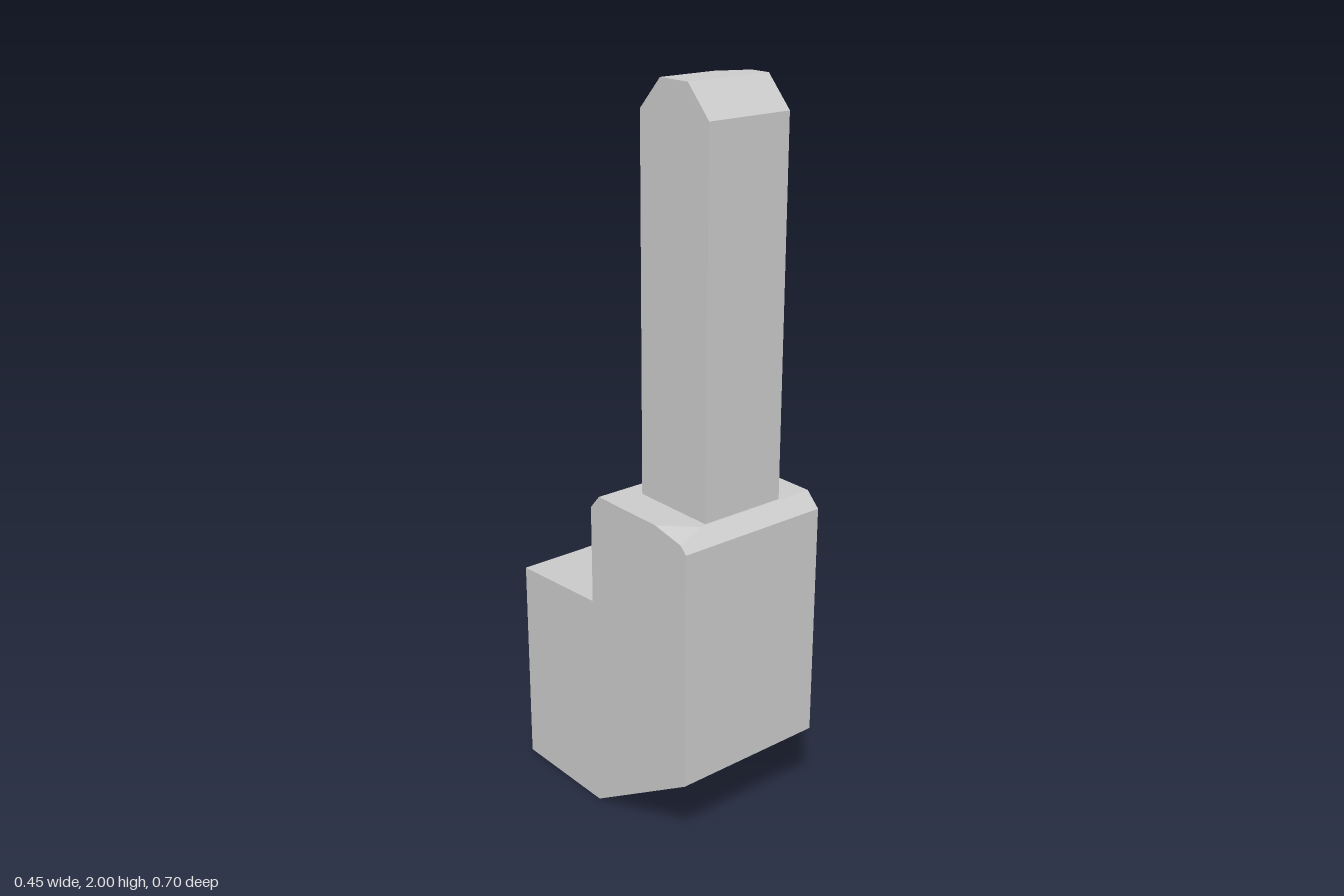
import * as THREE from 'three';
import { ConvexGeometry } from 'three/addons/geometries/ConvexGeometry.js';

const material = new THREE.MeshStandardMaterial({ color: 0xcccccc, flatShading: true });

function part(name, geometry) {
  const mesh = new THREE.Mesh(geometry, material);
  mesh.name = name;
  return mesh;
}

const hull = (points) => new ConvexGeometry(points.map((p) => new THREE.Vector3(...p)));

function rectangle(Type, x, y0, y1) {
  return new Type([[-x, y0], [x, y0], [x, y1], [-x, y1]].map((p) => new THREE.Vector2(...p)));
}

export function createModel() {
  const model = new THREE.Group();
  model.name = 'towerBlock';
  const W = 0.225; // half width of the base
  const T = 0.125; // half width of the tower

  // Stepped base: side profile (z, y) extruded across the width
  const profile = [
    [0.35, 0.23], [0.35, 0.89], [-0.035, 0.89], [-0.035, 0.615],
    [-0.35, 0.597], [-0.35, 0], [-0.02, 0],
  ];
  const base = new THREE.ExtrudeGeometry(
    new THREE.Shape(profile.map(([z, y]) => new THREE.Vector2(-z, y))),
    { depth: 2 * W, bevelEnabled: false },
  );
  base.translate(0, 0, -W).rotateY(Math.PI / 2);
  model.add(part('base', base));

  // Bevelled shoulder with a chipped front corner, split along a nick in its rear edge
  const nickLow = [0.175, 0.9, -0.025];
  const nickTip = [0.2, 0.93, 0.17];
  const seam = [nickLow, nickTip, [0.1737, 0.89, -0.035], [0.223, 0.89, 0.35], [0.218, 0.93, 0.31]];
  const shoulder = new THREE.Group();
  shoulder.name = 'shoulder';
  shoulder.add(
    part('shoulderMain', hull([
      ...seam,
      [-W, 0.89, -0.035], [-W, 0.89, 0.35], [-W, 0.93, 0], [0.14, 0.93, 0],
      [-W, 0.93, 0.23], [-0.145, 0.93, 0.31], [-W, 0.91, 0.33],
    ])),
    part('shoulderEdge', hull([
      ...seam,
      [W, 0.89, -0.035], [W, 0.89, 0.35], [W, 0.93, 0], [W, 0.93, 0.31],
    ])),
  );
  model.add(shoulder);

  // Tower: solid front part and a framed recess at the back
  const tower = new THREE.Group();
  tower.name = 'tower';
  const core = new THREE.BoxGeometry(2 * T, 0.99, 0.2);
  core.translate(0, 1.425, 0.205);
  tower.add(part('towerCore', core));

  const frameShape = rectangle(THREE.Shape, T, 0.93, 1.92);
  frameShape.holes.push(rectangle(THREE.Path, T - 0.02, 0.96, 1.89));
  const frame = new THREE.ExtrudeGeometry(frameShape, { depth: 0.05, bevelEnabled: false });
  frame.translate(0, 0, 0.055);
  tower.add(part('recessFrame', frame));

  // Bevelled tip with one chipped rear corner
  tower.add(part('towerTip', hull([
    [-T, 1.92, 0.055], [T, 1.92, 0.055], [-T, 1.92, 0.305], [T, 1.92, 0.305],
    [-T, 2, 0.23], [T, 2, 0.23], [-T, 2, 0.13],
    [0.04, 2, 0.13], [T, 2, 0.17], [T, 1.968, 0.1],
  ])));
  model.add(tower);

  return model;
}
